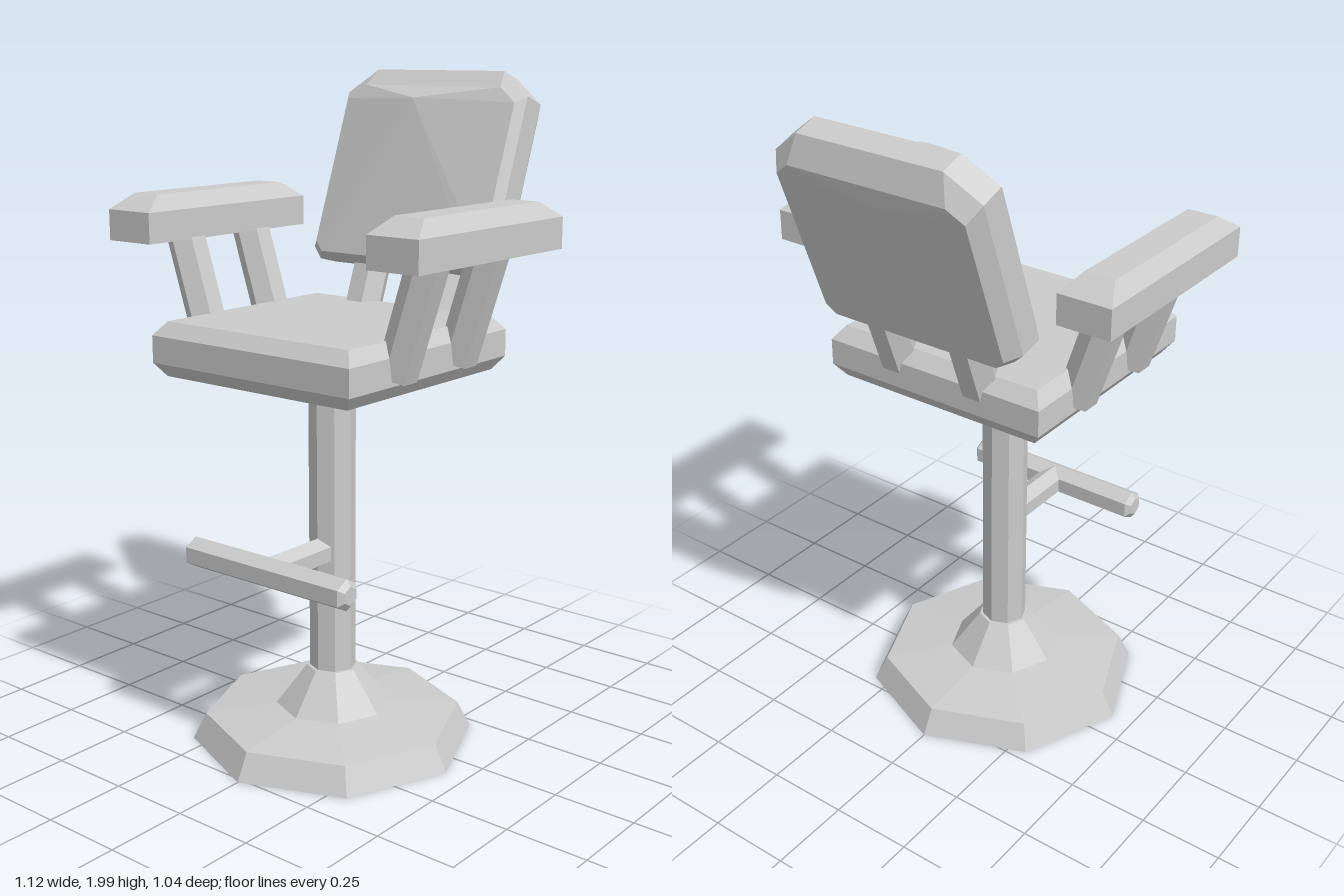
import * as THREE from 'three';

const mat = new THREE.MeshStandardMaterial({ color: 0xcccccc, flatShading: true });
const UP = new THREE.Vector3(0, 1, 0);

// Faceted solid of revolution from [radius, height] pairs, listed bottom to top
function turned(name, profile, sides) {
  const geo = new THREE.LatheGeometry(profile.map(p => new THREE.Vector2(...p)), sides);
  const m = new THREE.Mesh(geo, mat);
  m.name = name;
  return m;
}

// Straight rod from a to b, with optionally chamfered ends
function rod(name, a, b, r, sides, spin = 0, bevel = 0) {
  const p = new THREE.Vector3(...a), d = new THREE.Vector3(...b).sub(p), len = d.length();
  const profile = bevel
    ? [[0, 0], [r * 0.6, 0], [r, bevel], [r, len - bevel], [r * 0.6, len], [0, len]]
    : [[0, 0], [r, 0], [r, len], [0, len]];
  const m = turned(name, profile, sides);
  m.geometry.rotateY(spin);
  m.quaternion.setFromUnitVectors(UP, d.normalize());
  m.position.copy(p);
  return m;
}

// Skin over counter-clockwise loops stacked along +z, closed by an apex at each end
function loft(name, loops, backApex, frontApex) {
  const n = loops[0].length, idx = [];
  const pts = [...loops.flat(), backApex, frontApex];
  const back = pts.length - 2, front = pts.length - 1, last = (loops.length - 1) * n;
  for (let i = 0; i < n; i++) {
    const j = (i + 1) % n;
    for (let k = 0; k < last; k += n) {
      idx.push(k + i, k + j, k + n + j, k + i, k + n + j, k + n + i);
    }
    idx.push(back, j, i, front, last + i, last + j);
  }
  const geo = new THREE.BufferGeometry();
  geo.setAttribute('position', new THREE.Float32BufferAttribute(pts.flat(), 3));
  geo.setIndex(idx);
  geo.computeVertexNormals();
  const m = new THREE.Mesh(geo, mat);
  m.name = name;
  return m;
}

// Rectangular block lying flat; layers are [height, half width, half depth]
function block(name, layers) {
  const loops = layers.map(([h, x, z]) => [[-x, -z, h], [x, -z, h], [x, z, h], [-x, z, h]]);
  const m = loft(name, loops, [0, 0, layers[0][0]], [0, 0, layers[layers.length - 1][0]]);
  m.geometry.rotateX(-Math.PI / 2);
  return m;
}

// Upright octagon with larger cut corners at the top than at the bottom
function cushionLoop(hx, v0, v1, w, cutTop, cutBottom) {
  return [
    [-hx + cutBottom, v0, w], [hx - cutBottom, v0, w],
    [hx, v0 + cutBottom, w], [hx, v1 - cutTop * 0.75, w],
    [hx - cutTop, v1, w], [-hx + cutTop, v1, w],
    [-hx, v1 - cutTop * 0.75, w], [-hx, v0 + cutBottom, w],
  ];
}

export function createModel() {
  const chair = new THREE.Group();
  chair.name = 'swivelStool';
  const zc = 0.088;

  // Pedestal
  const base = turned('base', [[0, 0], [0.43, 0], [0.39, 0.08], [0.17, 0.107], [0, 0.107]], 8);
  const collar = turned('baseCollar', [[0.175, 0.105], [0.08, 0.228], [0, 0.228]], 8);
  const column = turned('column', [[0.07, 0.2], [0.07, 1.13]], 8);
  const plate = turned('seatPlate', [[0, 1.11], [0.122, 1.11], [0.122, 1.145]], 6);
  plate.geometry.rotateY(Math.PI / 2);
  for (const m of [base, collar, column, plate]) {
    m.position.z = zc;
    chair.add(m);
  }

  // Footrest
  chair.add(
    rod('footrestStem', [0, 0.602, zc], [0, 0.602, 0.37], 0.045, 6),
    rod('footrestBar', [-0.305, 0.602, 0.375], [0.305, 0.602, 0.375], 0.047, 6, Math.PI / 2, 0.014),
  );

  // Seat cushion
  const seat = block('seat', [
    [1.14, 0.335, 0.335], [1.18, 0.365, 0.363], [1.26, 0.365, 0.363], [1.3, 0.335, 0.328],
  ]);
  seat.position.z = 0.092;
  chair.add(seat);

  for (const s of [1, -1]) {
    const side = s > 0 ? 'left' : 'right';

    // Armrest pad on two leaning posts
    const pad = block(side + 'Armrest', [
      [1.515, 0.083, 0.335], [1.605, 0.083, 0.335], [1.65, 0.047, 0.265],
    ]);
    pad.position.set(s * 0.479, 0, 0.09);
    chair.add(pad);
    for (const z of [0.228, -0.053]) {
      chair.add(rod(side + 'ArmPost', [s * 0.345, 1.2, z], [s * 0.455, 1.54, z], 0.058, 6));
    }

    // Backrest support
    chair.add(rod(side + 'BackSupport',
      [s * 0.142, 1.21, -0.21], [s * 0.142, 1.5, -0.315], 0.06, 6, Math.PI / 2));
  }

  // Tilted backrest cushion, gently domed front and back
  const backrest = loft('backrest', [
    cushionLoop(0.305, -0.289, 0.237, -0.078, 0.05, 0.03),
    cushionLoop(0.335, -0.3, 0.308, -0.03, 0.1, 0.035),
    cushionLoop(0.335, -0.308, 0.308, 0.045, 0.1, 0.035),
    cushionLoop(0.312, -0.289, 0.25, 0.072, 0.06, 0.03),
  ], [-0.05, 0.18, -0.086], [-0.03, 0.2, 0.11]);
  backrest.position.set(0, 1.69, -0.365);
  backrest.rotation.x = -THREE.MathUtils.degToRad(20);
  chair.add(backrest);

  return chair;
}
